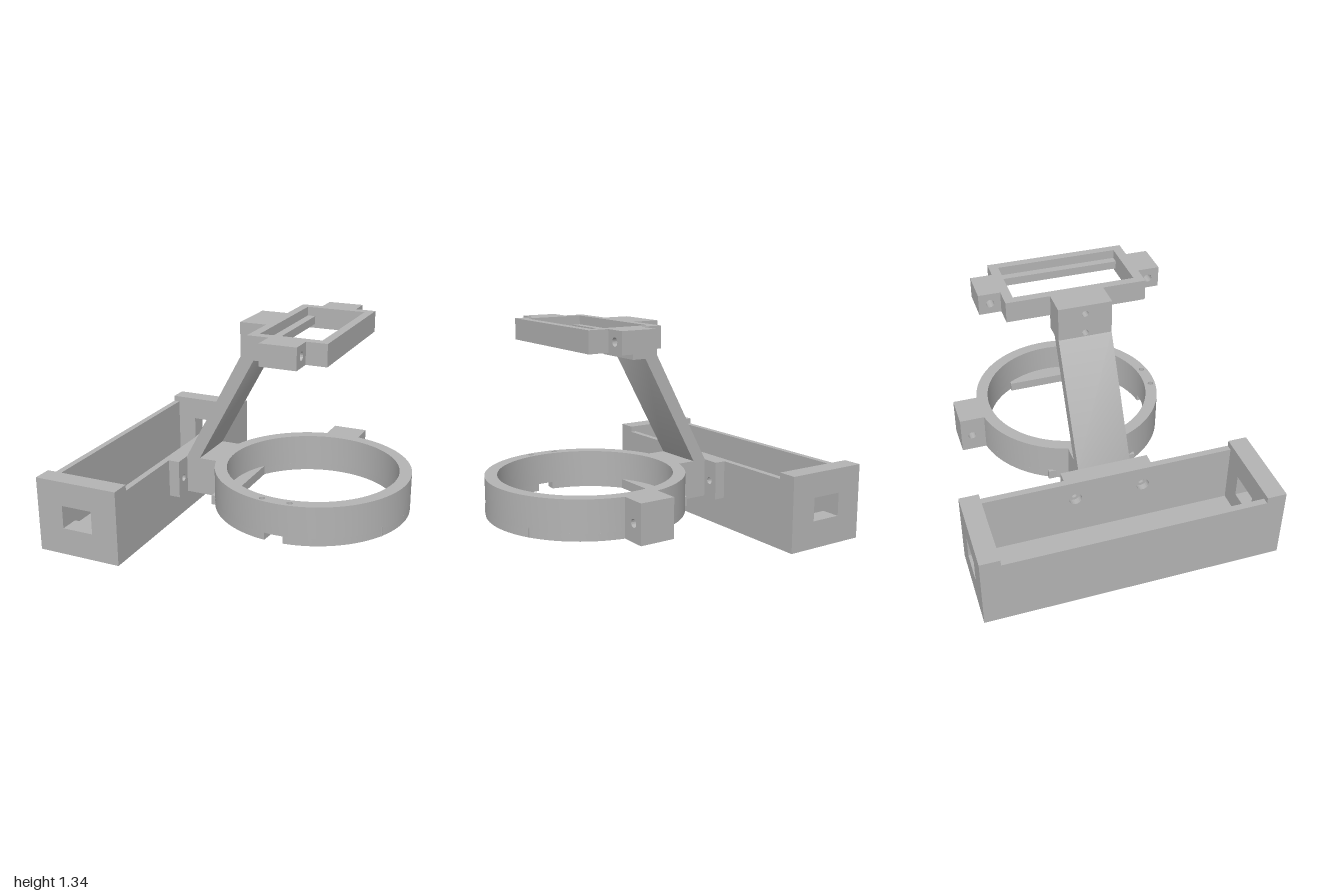
import * as THREE from 'three';
import { toCreasedNormals } from 'three/addons/utils/BufferGeometryUtils.js';

const grey = new THREE.MeshStandardMaterial({ color: 0xb3b3b3 });
grey.name = 'grey plastic';

const rect = (T, x0, x1, y0, y1) => new T([[x0, y0], [x1, y0], [x1, y1], [x0, y1]].map(p => new THREE.Vector2(...p)));
const circle = (x, y, r) => new THREE.Path().absarc(x, y, r, 0, Math.PI * 2);

// Plate from a rectangle with holes
function plate(x0, x1, y0, y1, holes = []) {
  const s = rect(THREE.Shape, x0, x1, y0, y1);
  s.holes.push(...holes);
  return s;
}

// Extrude a shape between two positions along an axis.
// x: shape is (-z, y); y: shape is (x, -z); z: shape is (x, y)
function extrude(shape, axis, from, to) {
  const g = new THREE.ExtrudeGeometry(shape, { depth: to - from, bevelEnabled: false, curveSegments: 48 });
  g.translate(0, 0, from);
  if (axis === 'x') g.rotateY(Math.PI / 2);
  if (axis === 'y') g.rotateX(-Math.PI / 2);
  return toCreasedNormals(g, 0.5);
}

function box(x0, x1, y0, y1, z0, z1) {
  return new THREE.BoxGeometry(x1 - x0, y1 - y0, z1 - z0)
    .translate((x0 + x1) / 2, (y0 + y1) / 2, (z0 + z1) / 2);
}

export function createModel() {
  const model = new THREE.Group();
  model.name = 'mountingBracket';
  const group = name => {
    const g = new THREE.Group();
    g.name = name;
    model.add(g);
    return g;
  };
  const add = (parent, name, geometry) => {
    const m = new THREE.Mesh(geometry, grey);
    m.name = name;
    parent.add(m);
  };

  // Open tray with windowed end blocks
  const tray = group('tray');
  add(tray, 'trayFloor', box(-1, -0.46, 0, 0.04, -0.79, 0.79));
  add(tray, 'outerWall', box(-1, -0.96, 0.04, 0.43, -0.79, 0.79));
  add(tray, 'innerWall', extrude(plate(-0.79, 0.79, 0.04, 0.43,
    [circle(-0.215, 0.3, 0.04), circle(0.215, 0.3, 0.04)]), 'x', -0.5, -0.46));
  for (const z of [-0.91, 0.79]) {
    add(tray, 'endBlock', extrude(plate(-1, -0.46, 0, 0.468,
      [rect(THREE.Path, -0.83, -0.63, 0.17, 0.315)]), 'z', z, z + 0.12));
  }

  // Bolted flange between tray and arm
  add(model, 'flange', extrude(plate(-0.277, 0.277, 0.19, 0.43,
    [circle(-0.215, 0.3, 0.022), circle(0.215, 0.3, 0.022)]), 'x', -0.46, -0.39));

  // Arm: foot block and slanted strut
  const profile = [[-0.39, 0.19], [-0.15, 0.19], [-0.15, 0.43], [-0.3, 0.43],
    [0.07, 1.11], [-0.015, 1.125], [-0.39, 0.43]];
  profile.splice(5, 0, [0.07, 1.125]);
  add(model, 'arm', extrude(new THREE.Shape(profile.map(p => new THREE.Vector2(...p))), 'z', -0.165, 0.165));

  // Head at the top of the arm, drilled twice
  const head = group('head');
  add(head, 'lowerHead', extrude(plate(-0.165, 0.165, 1.11, 1.205, [circle(0, 1.15, 0.02)]), 'x', -0.015, 0.16));
  add(head, 'upperHead', extrude(plate(-0.165, 0.165, 1.205, 1.335, [circle(0, 1.28, 0.02)]), 'x', -0.015, 0.15));

  // Ring: full upper band with wire holes, lower band broken by the front notch
  const ring = group('ring');
  const cx = 0.397, R = 0.605, r = 0.53;
  const band = new THREE.Shape().absarc(cx, 0, R, 0, Math.PI * 2);
  band.holes.push(circle(cx, 0, r), circle(0.3, -0.565, 0.018), circle(0.47, -0.565, 0.018));
  add(ring, 'upperBand', extrude(band, 'y', 0.235, 0.43));
  const a0 = -Math.PI / 2 + 0.08, a1 = Math.PI * 1.5 - 0.11;
  const broken = new THREE.Shape();
  broken.absarc(cx, 0, R, a0, a1, false);
  broken.absarc(cx, 0, r, a1, a0, true);
  broken.closePath();
  add(ring, 'lowerBand', extrude(broken, 'y', 0.19, 0.235));

  // Ledges across the bottom of the ring
  add(ring, 'ledge', box(-0.16, -0.05, 0.19, 0.25, -0.287, 0.287));
  add(ring, 'ledge', box(0.82, 0.935, 0.19, 0.25, -0.287, 0.287));

  // Drilled lug behind the ring
  add(ring, 'ringLug', extrude(plate(0.57, 0.752, 0.19, 0.43, [circle(0.68, 0.3, 0.025)]), 'x', 0.28, 0.5));

  // Rectangular holder with inner rails and drilled end lugs
  const holder = group('holder');
  add(holder, 'holderFrame', extrude(plate(0.15, 0.625, -0.435, 0.435,
    [rect(THREE.Path, 0.203, 0.573, -0.376, 0.378)]), 'y', 1.205, 1.335));
  add(holder, 'rail', box(0.203, 0.253, 1.23, 1.28, -0.378, 0.376));
  add(holder, 'rail', box(0.523, 0.573, 1.23, 1.28, -0.378, 0.376));
  for (const s of [-1, 1]) {
    const [a, b] = s > 0 ? [0.435, 0.57] : [-0.57, -0.435];
    add(holder, 'holderLug', extrude(plate(a, b, 1.205, 1.335, [circle(s * 0.5, 1.27, 0.025)]), 'x', 0.28, 0.5));
  }
  return model;
}
